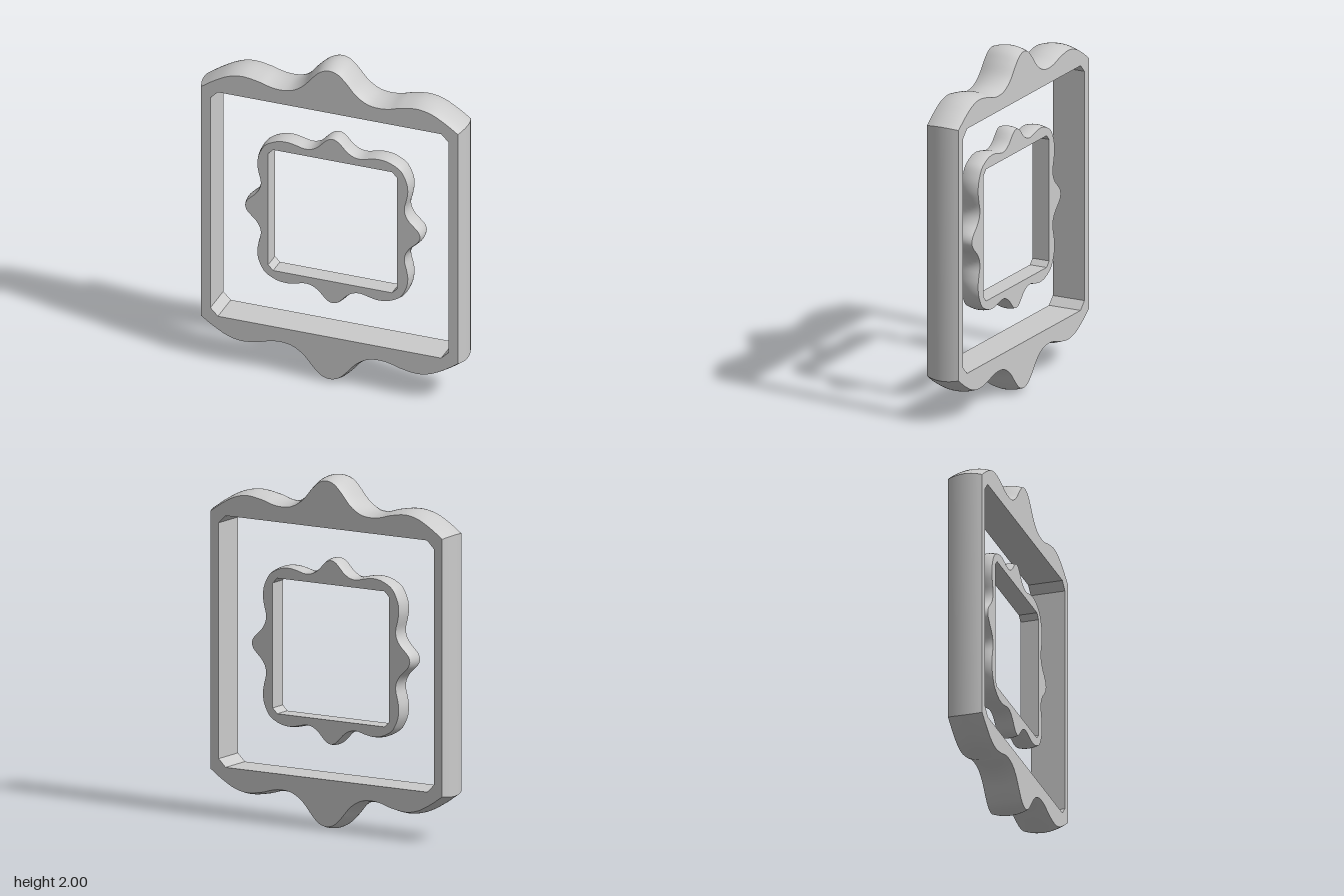
import * as THREE from 'three';
import { mergeGeometries, toCreasedNormals } from 'three/addons/utils/BufferGeometryUtils.js';

const V2 = (x, y) => new THREE.Vector2(x, y);
const spin = (pts, a) => pts.map(p => p.clone().rotateAround(V2(0, 0), a));

// smooth 2D samples through control points
function smooth(pts, n, closed) {
  const curve = new THREE.CatmullRomCurve3(pts.map(p => new THREE.Vector3(p.x, p.y, 0)), closed, 'catmullrom', 0.5);
  const out = curve.getSpacedPoints(n).map(p => V2(p.x, p.y));
  if (closed) out.pop();
  return out;
}

// mitred inward offset of a counter-clockwise loop
function inset(loop, d) {
  const n = loop.length;
  return loop.map((p, i) => {
    const t1 = p.clone().sub(loop[(i + n - 1) % n]).normalize();
    const t2 = loop[(i + 1) % n].clone().sub(p).normalize();
    const m = V2(-t1.y - t2.y, t1.x + t2.x).normalize();
    const k = d / Math.max(0.5, m.dot(V2(-t1.y, t1.x)));
    return p.clone().addScaledVector(m, k);
  });
}

// wall joining equal-length loops, ordered from back to front
function wall(loops, zs) {
  const pos = [], idx = [], n = loops[0].length;
  loops.forEach((l, k) => l.forEach(p => pos.push(p.x, p.y, zs[k])));
  for (let k = 0; k < loops.length - 1; k++) {
    for (let i = 0; i < n; i++) {
      const j = (i + 1) % n, a = k * n + i, b = k * n + j;
      idx.push(a, b, b + n, a, b + n, a + n);
    }
  }
  const g = new THREE.BufferGeometry();
  g.setAttribute('position', new THREE.Float32BufferAttribute(pos, 3));
  g.setIndex(idx);
  return g.toNonIndexed();
}

// rectangular opening with clipped corners, counter-clockwise
function clippedRect(w, h, c) {
  return [V2(w, -h + c), V2(w, h - c), V2(w - c, h), V2(-w + c, h),
    V2(-w, h - c), V2(-w, -h + c), V2(-w + c, -h), V2(w - c, -h)];
}

// flat-faced ring with a bulging outer edge and a straight opening
function frame(name, outline, opening, half, bulge) {
  const steps = 10, zs = [], loops = [];
  for (let k = 0; k <= steps; k++) {
    const t = (k / steps) * 2 - 1;
    zs.push(t * half);
    loops.push(inset(outline, bulge * t * t));
  }
  const hole = opening.slice().reverse();
  const shape = new THREE.Shape(loops[0]);
  shape.holes.push(new THREE.Path(hole));
  const face = new THREE.ShapeGeometry(shape).toNonIndexed();
  face.deleteAttribute('uv');
  face.deleteAttribute('normal');
  const back = face.clone().rotateY(Math.PI).translate(0, 0, -half);
  face.translate(0, 0, half);
  const geo = mergeGeometries([wall(loops, zs), wall([hole, hole], [-half, half]), face, back]);
  const mesh = new THREE.Mesh(toCreasedNormals(geo, 0.5), new THREE.MeshStandardMaterial({ color: 0xcccccc }));
  mesh.name = name;
  mesh.position.y = 1;
  return mesh;
}

export function createModel() {
  const group = new THREE.Group();
  group.name = 'ornamentalFrame';

  // outer frame: wavy top and bottom crests, straight sides
  const crest = [[0.785, 0.74], [0.7, 0.798], [0.61, 0.845], [0.52, 0.862], [0.42, 0.848], [0.35, 0.828],
    [0.29, 0.822], [0.23, 0.832], [0.17, 0.87], [0.11, 0.938], [0.06, 0.983], [0, 1]].map(p => V2(...p));
  const top = smooth([...crest, ...crest.slice(0, -1).reverse().map(p => V2(-p.x, p.y))], 110, false);
  group.add(frame('outerFrame', [...top, ...spin(top, Math.PI)], clippedRect(0.71, 0.713, 0.045), 0.1, 0.02));

  // inner frame: the same wave on all four sides, rounded corners
  const eighth = [[0.53, 0], [0.52, 0.033], [0.494, 0.062], [0.463, 0.092], [0.441, 0.13], [0.437, 0.17],
    [0.449, 0.22], [0.457, 0.27], [0.452, 0.325], [0.432, 0.375]].map(p => V2(...p));
  const quarter = [...eighth, V2(0.409, 0.409), ...eighth.slice(1).reverse().map(p => V2(p.y, p.x))];
  const ring = [0, 1, 2, 3].flatMap(i => spin(quarter, i * Math.PI / 2));
  group.add(frame('innerFrame', smooth(ring, 240, true), clippedRect(0.384, 0.384, 0.03), 0.053, 0.009));

  return group;
}
